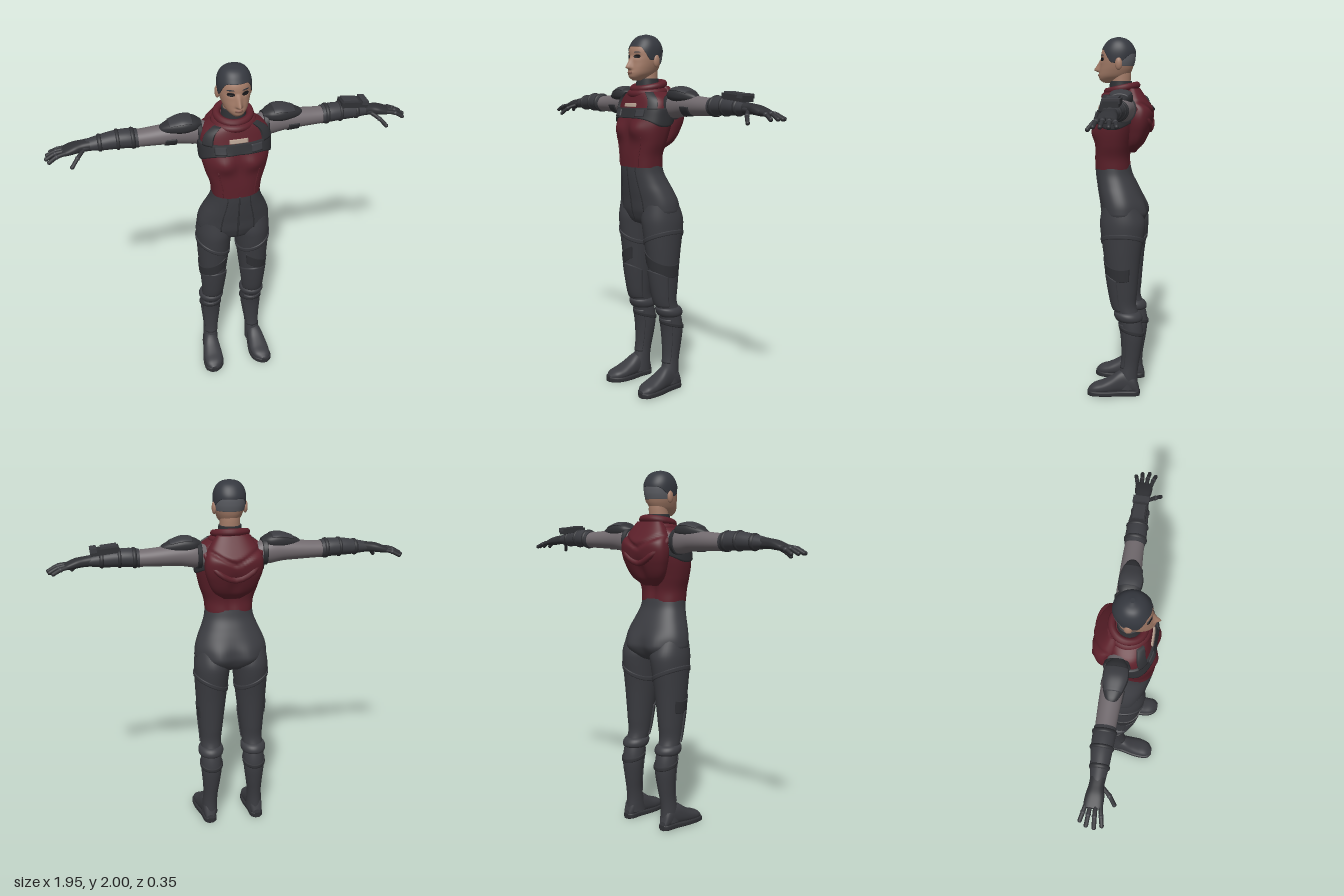
import * as THREE from 'three';

const PI = Math.PI;
const paint = (name, color) => Object.assign(new THREE.MeshStandardMaterial({ color }), { name });
const gauss = (v, c, s) => Math.exp(-(((v - c) / s) ** 2));
const clamp01 = v => Math.min(1, Math.max(0, v));

// Smoothly interpolated cross-section [t, a0, a1, b0, b1] at position t
function sectionAt(rows, t) {
  let i = 0;
  while (i < rows.length - 2 && t > rows[i + 1][0]) i++;
  const slope = (j, k) => {
    const p = rows[Math.max(0, j - 1)], n = rows[Math.min(rows.length - 1, j + 1)];
    return (n[k] - p[k]) / (n[0] - p[0]);
  };
  const A = rows[i], B = rows[i + 1], h = B[0] - A[0], u = clamp01((t - A[0]) / h);
  const u2 = u * u, u3 = u2 * u;
  return [1, 2, 3, 4].map(k => (2 * u3 - 3 * u2 + 1) * A[k] + (u3 - 2 * u2 + u) * h * slope(i, k)
    + (3 * u2 - 2 * u3) * B[k] + (u3 - u2) * h * slope(i + 1, k));
}

// Closed loft through the rows, or (with off) a raised panel that follows the same surface
function loft(rows, { axis = 'y', p = 2, seg = 40, rings = 32, t0, t1, a0 = 0, a1 = 2 * PI, off = 0,
  round = false, topCap = false, warp } = {}) {
  rows = [...rows].sort((r, s) => r[0] - s[0]);
  const raised = off !== 0, full = a1 - a0 > 6.28;
  const val = (f, a, d) => f === undefined ? d : typeof f === 'function' ? f(a) : f;
  const inner = (i, n) => clamp01((i - 1) / (n - 2));
  const pos = [], idx = [], cols = full ? seg : seg + 1;
  const bend = q => {
    const v = axis === 'y' ? new THREE.Vector3(q[1], q[0], q[2])
      : axis === 'x' ? new THREE.Vector3(q[0], q[2], q[1]) : new THREE.Vector3(q[2], q[1], q[0]);
    if (warp) warp(v);
    return v;
  };
  for (let i = 0; i <= rings; i++) for (let j = 0; j < cols; j++) {
    const a = a0 + (a1 - a0) * (raised && !full ? inner(j, seg) : j / seg);
    const u = raised ? inner(i, rings) : i / rings;
    const lo = val(t0, a, rows[0][0]), hi = val(t1, a, rows.at(-1)[0]), t = lo + (hi - lo) * u;
    const edge = raised && (i === 0 || (i === rings && !topCap) || (!full && (j === 0 || j === seg)));
    const o = edge ? -0.004 : round ? off * Math.sqrt(Math.sin(PI * u) + 1e-6) : off;
    const [x0, x1, z0, z1] = sectionAt(rows, t);
    const pw = v => Math.sign(v) * Math.abs(v) ** (2 / p);
    pos.push(...bend([t, (x0 + x1) / 2 + ((x1 - x0) / 2 + o) * pw(Math.cos(a)),
      (z0 + z1) / 2 + ((z1 - z0) / 2 + o) * pw(Math.sin(a))]).toArray());
  }
  for (let i = 0; i < rings; i++) for (let j = 0; j < seg; j++) {
    const k = full ? (j + 1) % seg : j + 1, A = i * cols + j, B = A + cols, C = (i + 1) * cols + k, D = i * cols + k;
    idx.push(A, B, C, A, C, D);
  }
  for (const i of raised ? (topCap ? [rings] : []) : [0, rings]) {
    const start = pos.length / 3, mid = [0, 0, 0];
    for (let j = 0; j < cols; j++) for (let c = 0; c < 3; c++) {
      const v = pos[(i * cols + j) * 3 + c];
      pos.push(v);
      mid[c] += v / cols;
    }
    pos.push(...mid);
    for (let j = 0; j < cols; j++) {
      const A = start + j, B = start + (j + 1) % cols;
      idx.push(start + cols, ...(i ? [B, A] : [A, B]));
    }
  }
  const g = new THREE.BufferGeometry();
  g.setAttribute('position', new THREE.Float32BufferAttribute(pos, 3));
  g.setIndex(idx);
  g.computeVertexNormals();
  return g;
}

function mirrored(geo) {
  const g = geo.clone().scale(-1, 1, 1), ix = g.index.array;
  for (let i = 0; i < ix.length; i += 3) [ix[i + 1], ix[i + 2]] = [ix[i + 2], ix[i + 1]];
  return g;
}
const sym = rows => rows.map(([y, w, zb, zf]) => [y, -w, w, zb, zf]);
const ball = (x, y, z, rx, ry, rz) => new THREE.SphereGeometry(1, 20, 14).scale(rx, ry, rz).translate(x, y, z);
const tube = (pts, r, closed = false) => new THREE.TubeGeometry(
  new THREE.CatmullRomCurve3(pts.map(q => new THREE.Vector3(...q)), closed), closed ? 48 : 14, r, 10, closed);

export function createModel() {
  const model = new THREE.Group();
  const suit = paint('charcoal suit', 0x3b3c41), armour = paint('dark armour', 0x303135);
  const red = paint('maroon cloth', 0x5c202a), sleeve = paint('grey sleeve', 0x70696d);
  const skin = paint('skin', 0xa47c68), hair = paint('hair', 0x35383f), shaved = paint('shaved hair', 0x5b5d63);
  const black = paint('eye makeup', 0x19171a), lip = paint('lips', 0x8a6053), pale = paint('badge', 0xb59f90);
  const add = (name, geo, mat) => {
    const m = new THREE.Mesh(geo, mat);
    m.name = name;
    model.add(m);
  };
  const pair = (name, geo, mat) => { add(name + 'Left', geo, mat); add(name + 'Right', mirrored(geo), mat); };

  // Head and face
  const headRows = sym([[1.755, .022, .06, .105], [1.77, .04, 0, .126], [1.79, .058, -.03, .13], [1.82, .071, -.05, .127],
    [1.85, .079, -.06, .122], [1.88, .083, -.067, .12], [1.92, .083, -.068, .115], [1.95, .076, -.057, .1],
    [1.972, .06, -.037, .08], [1.988, .038, -.012, .055], [1.995, .008, .015, .028]]);
  const face = v => {
    if (v.z < .05) return;
    const ridge = clamp01((1.888 - v.y) / .06) * clamp01(1 - (1.822 - v.y) / .013);
    v.z += .032 * gauss(v.x, 0, .013) * ridge + .006 * gauss(v.x, 0, .02) * gauss(v.y, 1.797, .008)
      - .007 * gauss(Math.abs(v.x), .036, .018) * gauss(v.y, 1.882, .013);
  };
  const H = { p: 2.1, warp: face };
  add('head', loft(headRows, { ...H, seg: 80, rings: 64 }), skin);
  const hairline = a => {
    const f = Math.sin(a);
    if (f > .1) return 1.862 + .073 * THREE.MathUtils.smoothstep(f, .15, .88);
    return 1.862 + .05 * THREE.MathUtils.smoothstep(-f, .1, .9);
  };
  const hairRows = headRows.map(r => [r[0] + (r[0] > 1.96 ? .005 : 0), ...r.slice(1)]);
  add('hairCap', loft(hairRows, { ...H, seg: 72, t0: hairline, off: .005, topCap: true }), hair);
  add('shavedNape', loft(headRows, { ...H, a0: PI + .1, a1: 2 * PI - .1, t0: 1.845, t1: a => hairline(a) + .01, off: .003 }), shaved);
  pair('ear', ball(.084, 1.858, .012, .013, .034, .02), skin);
  const eyeA = PI / 2 - .45;
  const lens = a => Math.sqrt(Math.max(0, 1 - ((a - eyeA) / .25) ** 2));
  pair('eye', loft(headRows, { ...H, seg: 16, rings: 8, a0: eyeA - .25, a1: eyeA + .25,
    t0: a => 1.882 - .01 * lens(a), t1: a => 1.882 + .01 * lens(a), off: .0025 }), black);
  pair('brow', loft(headRows, { ...H, seg: 16, rings: 6, a0: eyeA - .28, a1: eyeA + .22,
    t0: 1.902, t1: a => 1.902 + .006 * lens(a), off: .002 }), hair);
  add('lips', loft(headRows, { ...H, seg: 16, rings: 6, a0: PI / 2 - .28, a1: PI / 2 + .28, t0: 1.791, t1: 1.803, off: .0015 }), lip);
  const neckRows = sym([[1.66, .066, -.06, .07], [1.74, .056, -.045, .065], [1.8, .054, -.045, .06], [1.85, .055, -.04, .06]]);
  add('neck', loft(neckRows), skin);
  add('innerCollar', loft(neckRows, { t0: 1.68, t1: 1.765, off: .007 }), armour);

  // Torso, bust and harness
  const torsoRows = sym([[1.285, .132, -.044, .151], [1.35, .14, -.04, .151], [1.42, .163, -.053, .148], [1.5, .181, -.073, .147],
    [1.56, .185, -.085, .138], [1.62, .184, -.09, .124], [1.66, .165, -.09, .114], [1.69, .122, -.085, .104], [1.71, .09, -.07, .085]]);
  const T = { p: 2.4, warp: v => {
    if (v.z > .04) v.z += .022 * gauss(Math.abs(v.x), .078, .055) * gauss(v.y, 1.49, .05) - .006 * gauss(v.x, 0, .02) * gauss(v.y, 1.48, .06);
    else v.z += .012 * gauss(v.x, 0, .025) * gauss(v.y, 1.36, .1);
  } };
  add('vest', loft(torsoRows, { ...T, seg: 64, rings: 44 }), red);
  add('chestBand', loft(torsoRows, { ...T, seg: 64, rings: 12, t0: a => 1.552 - .045 * Math.cos(a) ** 4, t1: 1.607, off: .01 }), armour);
  pair('shoulderStrap', loft(torsoRows, { ...T, rings: 14, a0: .45, a1: .88, t0: 1.6, t1: 1.692, off: .012 }), armour);
  pair('bandPouch', loft(torsoRows, { ...T, seg: 12, rings: 8, a0: .95, a1: 1.3, t0: 1.56, t1: 1.6, off: .015 }), suit);
  add('badge', loft(torsoRows, { ...T, seg: 12, rings: 8, a0: PI / 2 - .2, a1: PI / 2 + .2, t0: 1.612, t1: 1.632, off: .008 }), pale);
  pair('vestSeam', loft(torsoRows, { ...T, seg: 8, a0: .93, a1: .97, t0: 1.29, t1: 1.45, off: .003 }), red);

  // Rolled collar, high at the back, and lowered hood
  const ring = (y, w, zf, zb, tilt) => Array.from({ length: 12 }, (_, i) => {
    const a = i / 12 * 2 * PI, z = (zf + zb) / 2 + (zf - zb) / 2 * Math.sin(a);
    return [w * Math.cos(a), y - tilt * z, z];
  });
  add('collarLower', tube(ring(1.69, .098, .097, -.08, .1), .022, true), red);
  add('collarUpper', tube(ring(1.725, .088, .085, -.078, .22), .02, true), red);
  const hoodRows = sym([[1.375, .05, -.075, -.03], [1.42, .108, -.118, -.03], [1.5, .145, -.155, -.03], [1.56, .158, -.17, -.03],
    [1.61, .154, -.17, -.03], [1.65, .138, -.145, -.02], [1.69, .112, -.118, -.02], [1.725, .085, -.095, -.03]]);
  const hoodWarp = v => { if (v.z < -.08) v.z += .014 * gauss(v.x, 0, .03) * gauss(v.y, 1.46, .06) + .012 * gauss(v.y - Math.abs(v.x) * .5, 1.585, .012); };
  add('hood', loft(hoodRows, { p: 2.5, seg: 64, rings: 48, warp: hoodWarp }), red);
  add('hoodFold', tube([[-.15, 1.63, -.07], [-.1, 1.55, -.15], [0, 1.5, -.15], [.1, 1.55, -.15], [.15, 1.63, -.07]], .017), red);

  // Hips
  const hipRows = sym([[.955, .05, -.05, .05], [.97, .12, -.09, .085], [1.03, .2, -.122, .112], [1.06, .204, -.124, .118], [1.1, .198, -.12, .123],
    [1.15, .18, -.103, .132], [1.2, .157, -.08, .14], [1.25, .139, -.056, .147], [1.3, .132, -.043, .151]]);
  const hipWarp = v => { if (v.z < -.02) v.z -= .028 * gauss(Math.abs(v.x), .085, .065) * gauss(v.y, 1.03, .075); };
  add('hips', loft(hipRows, { p: 2.2, seg: 64, warp: hipWarp }), suit);
  add('frontSeam', loft(hipRows, { p: 2.2, seg: 8, a0: PI / 2 - .02, a1: PI / 2 + .02, t0: .99, t1: 1.29, off: .002 }), armour);
  pair('hipSeam', loft(hipRows, { p: 2.2, seg: 8, a0: 1.12, a1: 1.16, t0: 1.04, t1: 1.29, off: .002 }), armour);

  // Legs with straps, knee guards and boots
  const legRows = [[1.08, .02, .197, -.105, .1], [1, .004, .209, -.137, .113], [.95, .01, .21, -.137, .11], [.9, .016, .208, -.13, .104],
    [.8, .028, .203, -.115, .09], [.7, .04, .196, -.105, .076], [.6, .052, .188, -.097, .06], [.52, .062, .182, -.092, .042],
    [.46, .068, .184, -.112, .015], [.4, .066, .187, -.128, 0], [.34, .068, .186, -.132, -.01], [.25, .08, .178, -.12, -.014],
    [.18, .09, .174, -.108, -.01], [.12, .092, .178, -.102, .005], [.04, .09, .183, -.106, .03]];
  const strapY = a => .885 + .045 * Math.cos(a);
  pair('leg', loft(legRows, { rings: 56 }), suit);
  pair('thighStrap', loft(legRows, { rings: 6, t0: a => strapY(a) - .012, t1: a => strapY(a) + .012, off: .005 }), suit);
  pair('thighGuard', loft(legRows, { a0: -.5, a1: 2.2, t0: a => .72 - .05 * Math.cos(a), t1: a => .79 - .05 * Math.cos(a), off: .005 }), armour);
  pair('kneeGuard', loft(legRows, { a0: .3, a1: 2.8, t0: .5, t1: a => .66 + .05 * Math.sin(a), off: .007 }), suit);
  pair('bootCuff', loft(legRows, { rings: 12, t0: .435, t1: .488, off: .015, round: true }), suit);
  pair('bootStrap', loft(legRows, { rings: 6, t0: a => .37 + .02 * Math.sin(a), t1: a => .39 + .02 * Math.sin(a), off: .006 }), armour);
  pair('shinGuard', loft(legRows, { a0: .6, a1: 2.5, t0: .16, t1: .42, off: .005 }), suit);
  pair('sole', loft([[-.115, 0, .03, .125, .16], [-.1, 0, .032, .105, .176], [-.03, 0, .032, .1, .186], [.06, 0, .032, .087, .207],
    [.12, 0, .032, .09, .212], [.16, 0, .032, .11, .205], [.18, 0, .03, .14, .18]], { axis: 'z', p: 5 }), armour);
  pair('bootFoot', loft([[-.11, .01, .05, .12, .165], [-.09, .01, .11, .105, .175], [-.04, .01, .145, .1, .182], [0, .01, .14, .096, .19],
    [.05, .01, .106, .092, .2], [.1, .01, .08, .092, .205], [.15, .01, .062, .108, .2], [.175, .01, .04, .14, .178]],
    { axis: 'z', p: 2.3 }), suit);

  // Arms
  const armRows = [[.14, -.08, .03, 1.56, 1.67], [.2, -.09, .03, 1.553, 1.688], [.28, -.09, .025, 1.566, 1.682], [.36, -.09, .02, 1.57, 1.675],
    [.45, -.088, .015, 1.573, 1.667], [.54, -.085, .012, 1.576, 1.662]];
  pair('sleeve', loft(armRows, { axis: 'x' }), sleeve);
  pair('armholeBand', loft(armRows, { axis: 'x', rings: 8, t0: .165, t1: .19, off: .008 }), armour);
  pair('armPatch', loft(armRows, { axis: 'x', seg: 16, rings: 8, a0: -1.3, a1: -.1, t0: .3, t1: .36, off: .006 }), armour);
  const foreRows = [[.495, -.09, .016, 1.572, 1.67], [.55, -.092, .018, 1.577, 1.676], [.62, -.088, .014, 1.58, 1.673],
    [.68, -.08, .01, 1.582, 1.663], [.74, -.072, .003, 1.588, 1.65], [.78, -.068, 0, 1.59, 1.64]];
  pair('gauntlet', loft(foreRows, { axis: 'x' }), suit);
  for (const [x, w] of [[.51, .022], [.59, .018], [.68, .022]])
    pair('gauntletStrap', loft(foreRows, { axis: 'x', rings: 8, t0: x, t1: x + w, off: .006, round: true }), armour);

  // Shoulder pads
  const padRows = [[.165, -.05, .005, 1.665, 1.69], [.2, -.078, .03, 1.645, 1.71], [.26, -.085, .04, 1.636, 1.72], [.32, -.075, .025, 1.64, 1.704],
    [.37, -.055, 0, 1.645, 1.682], [.386, -.038, -.018, 1.653, 1.667]];
  pair('shoulderPad', loft(padRows, { axis: 'x', p: 2.4 }), armour);
  pair('shoulderPadPlate', loft(padRows, { axis: 'x', p: 2.4, a0: .5, a1: 2.6, t0: .215, t1: .335, off: .004 }), suit);

  // Gloved hands
  pair('palm', loft([[.74, -.07, .003, 1.59, 1.648], [.78, -.072, 0, 1.59, 1.642], [.82, -.08, .008, 1.586, 1.635], [.86, -.083, .008, 1.582, 1.62],
    [.88, -.078, .002, 1.585, 1.61]], { axis: 'x', p: 2.5 }), armour);
  const digits = [['indexFinger', [.86, 1.602, -.003], [.91, 1.594, .006], [.95, 1.572, .014]],
    ['middleFinger', [.86, 1.605, -.026], [.915, 1.597, -.024], [.963, 1.573, -.02]],
    ['ringFinger', [.86, 1.603, -.049], [.91, 1.595, -.054], [.957, 1.572, -.058]],
    ['littleFinger', [.855, 1.6, -.07], [.9, 1.59, -.08], [.938, 1.572, -.09]],
    ['thumb', [.775, 1.605, -.01], [.81, 1.585, .03], [.842, 1.553, .056]]];
  for (const [name, ...pts] of digits) {
    pair(name, tube(pts, .0105), armour);
    pair(name + 'Tip', ball(...pts[2], .0108, .0108, .0108), armour);
    pair(name + 'Knuckle', ball(...pts[1], .013, .012, .0125), suit);
  }

  // Forearm device, worn on the left arm only
  const device = (name, x, y, w, h, d, mat) => add(name, new THREE.BoxGeometry(w, h, d).rotateZ(-.1).translate(x, y, -.036), mat);
  device('deviceBase', .672, 1.67, .15, .03, .075, armour);
  device('deviceScreen', .65, 1.688, .085, .018, .06, suit);
  device('deviceEnd', .73, 1.678, .035, .022, .085, suit);
  return model;
}
